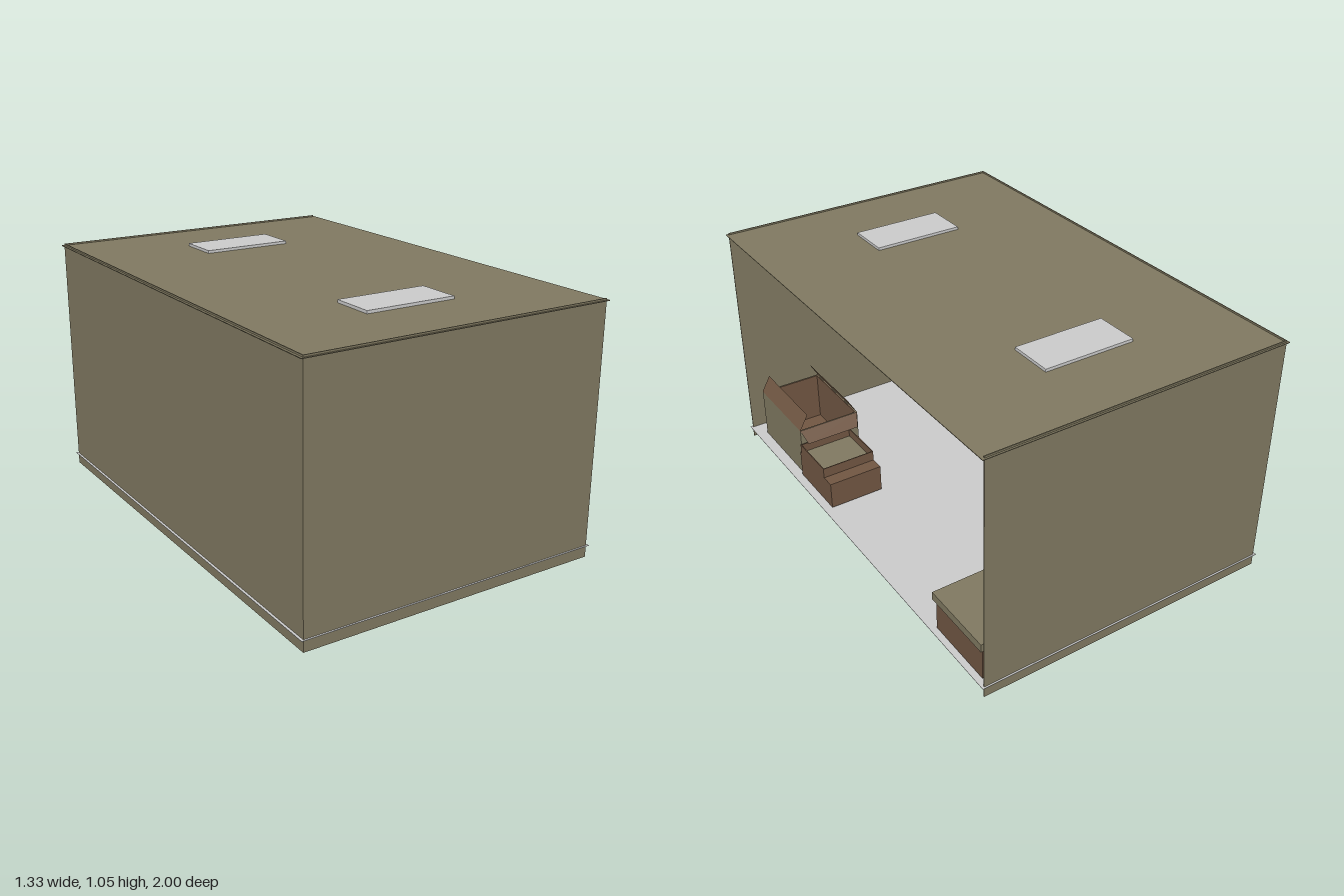
import * as THREE from 'three';

const mat = (name, color) => {
  const m = new THREE.MeshStandardMaterial({ color, side: THREE.DoubleSide });
  m.name = name;
  return m;
};

export function createModel() {
  const tan = mat('tan panel', 0x7f7860);
  const pale = mat('pale grey', 0xcacaca);
  const brown = mat('brown cardboard', 0x705642);
  const metal = mat('dark metal', 0x2c2929);

  const model = new THREE.Group();
  model.name = 'storageRoom';

  const group = (name, parent = model) => {
    const g = new THREE.Group();
    g.name = name;
    parent.add(g);
    return g;
  };
  // Box given by its minimum and maximum corners
  const box = (name, m, [x0, y0, z0], [x1, y1, z1], parent = model) => {
    const mesh = new THREE.Mesh(new THREE.BoxGeometry(x1 - x0, y1 - y0, z1 - z0), m);
    mesh.position.set((x0 + x1) / 2, (y0 + y1) / 2, (z0 + z1) / 2);
    mesh.name = name;
    parent.add(mesh);
    return mesh;
  };
  // Flat flap from four corners
  const flap = (name, m, corners, parent) => {
    const g = new THREE.BufferGeometry();
    g.setAttribute('position', new THREE.Float32BufferAttribute(corners.flat(), 3));
    g.setIndex([0, 1, 2, 0, 2, 3]);
    g.computeVertexNormals();
    const mesh = new THREE.Mesh(g, m);
    mesh.name = name;
    parent.add(mesh);
  };

  // Shell: the +x side is open; floor and roof overhang the walls slightly
  const FLOOR = 0.05;
  box('floor', pale, [-0.665, FLOOR - 0.002, -1], [0.665, FLOOR, 1]);
  box('roof', tan, [-0.665, 1.037, -1], [0.665, 1.04, 1]);
  box('frontWall', tan, [-0.655, 0, 0.989], [0.655, 1.047, 0.993]);
  box('backWall', tan, [-0.655, 0, -0.993], [0.655, 1.047, -0.989]);
  box('rightWall', tan, [-0.655, 0, -0.989], [-0.651, 1.047, 0.989]);

  // Roof lights
  for (const z of [-0.59, 0.59])
    box('roofLight', pale, [-0.195, 1.029, z - 0.093], [0.195, 1.052, z + 0.093]);

  // Open metal rack with five barred shelves, centred on x and z
  const rack = (name) => {
    const g = group(name);
    const W = 0.093, L = 0.4625, H = 0.81;
    const post = new THREE.LatheGeometry([
      [0, 0], [0.02, 0], [0.02, 0.012], [0.015, 0.018],
      [0.015, H - 0.018], [0.02, H - 0.012], [0.02, H], [0, H],
    ].map(([r, y]) => new THREE.Vector2(r, y)), 12);
    for (const x of [-W, W])
      for (const z of [-L, L]) {
        const p = new THREE.Mesh(post, metal);
        p.name = 'rackPost';
        p.position.set(x, 0, z);
        g.add(p);
      }
    for (const y of [0.095, 0.257, 0.422, 0.587, 0.75]) {
      for (const x of [-W, W])
        box('shelfRail', metal, [x - 0.006, y - 0.005, -L], [x + 0.006, y + 0.005, L], g);
      for (let i = 0; i < 4; i++) {
        const z = -L + (2 * L * i) / 3;
        box('shelfBar', metal, [-W, y - 0.005, z - 0.007], [W, y + 0.005, z + 0.007], g);
      }
    }
    return g;
  };
  rack('largeRack').position.set(-0.468, 0.045, -0.4625);
  const small = rack('smallRack');
  small.position.set(-0.495, 0.045, 0.767);
  small.scale.set(0.92, 0.645, 0.222);

  // Closed box with lid at the back
  const chest = group('liddedBox');
  box('boxBody', brown, [0.39, 0.055, -0.96], [0.64, 0.2, -0.65], chest);
  box('boxLid', tan, [0.38, 0.195, -0.968], [0.652, 0.23, -0.642], chest);

  // Four thin walls of an open carton
  const walls = (name, m, [x0, y0, z0], [x1, y1, z1], g) => {
    const t = 0.004;
    box(name, m, [x0, y0, z0], [x0 + t, y1, z1], g);
    box(name, m, [x1 - t, y0, z0], [x1, y1, z1], g);
    box(name, m, [x0 + t, y0, z0], [x1 - t, y1, z0 + t], g);
    box(name, m, [x0 + t, y0, z1 - t], [x1 - t, y1, z1], g);
  };

  // Large open carton: tan outside, brown inside, raised flaps
  const carton = group('largeCarton');
  walls('cartonWall', tan, [0.34, 0.055, 0.512], [0.62, 0.28, 0.903], carton);
  walls('cartonLining', brown, [0.344, 0.056, 0.516], [0.616, 0.279, 0.899], carton);
  box('cartonBase', brown, [0.342, 0.053, 0.514], [0.618, 0.06, 0.901], carton);
  for (const s of [-1, 1]) {
    const x = 0.48 + s * 0.14, xt = 0.48 + s * 0.1;
    flap('cartonFlap', brown,
      [[x, 0.28, 0.905], [x, 0.28, 0.512], [xt, 0.35, 0.512], [xt, 0.35, 0.905]], carton);
  }
  flap('cartonEndFlap', brown,
    [[0.34, 0.28, 0.512], [0.62, 0.28, 0.512], [0.6, 0.225, 0.478], [0.36, 0.225, 0.478]], carton);

  // Small stepped carton with a recessed top
  const tray = group('smallCarton');
  box('trayBody', brown, [0.39, 0.055, 0.22], [0.63, 0.175, 0.51], tray);
  walls('trayWall', brown, [0.39, 0.175, 0.28], [0.63, 0.22, 0.5], tray);
  box('trayFilling', tan, [0.394, 0.175, 0.284], [0.626, 0.18, 0.496], tray);

  return model;
}
